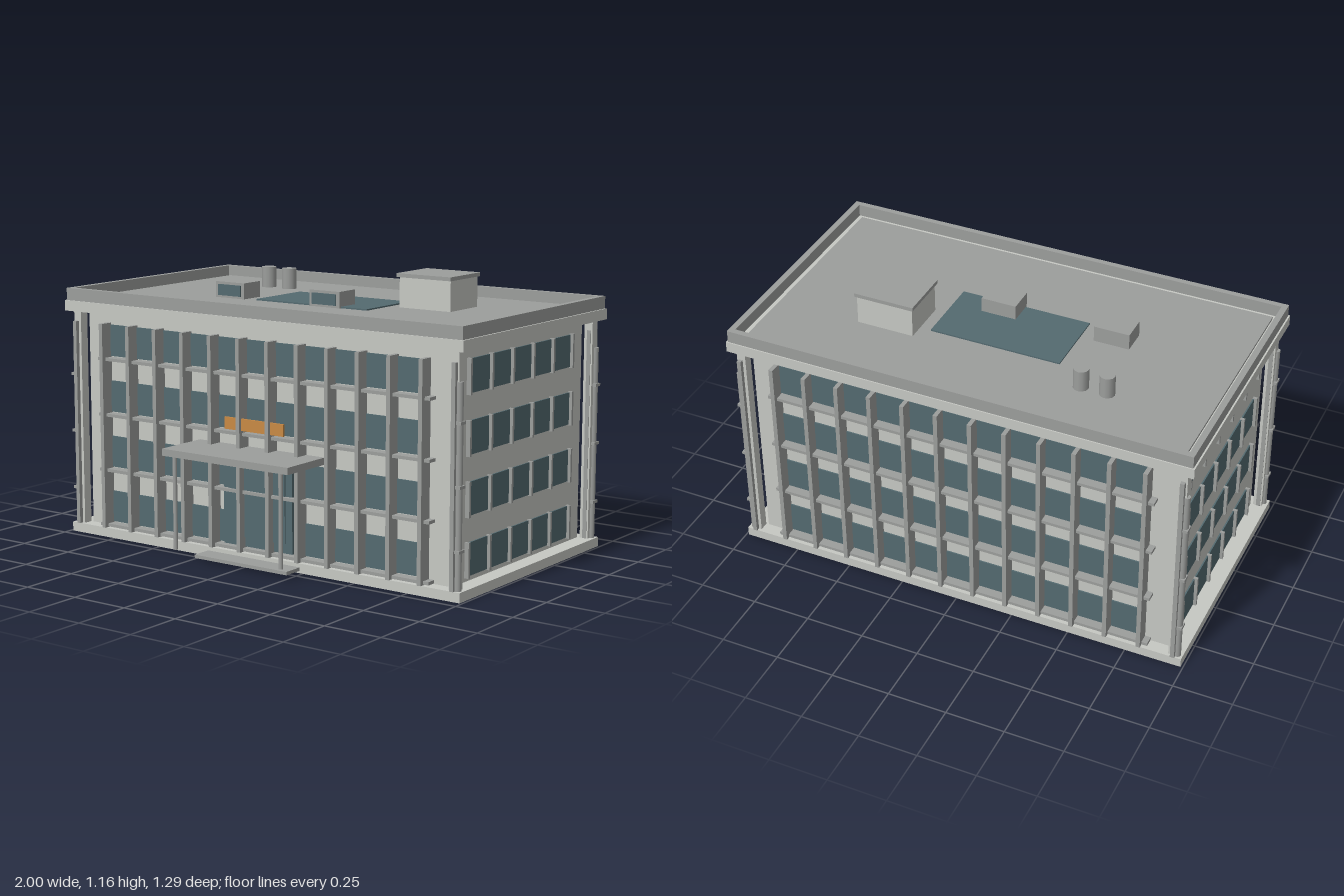
import * as THREE from 'three';

const mat = (name, color) => {
  const m = new THREE.MeshStandardMaterial({ color });
  m.name = name;
  return m;
};

export function createModel() {
  const wall = mat('pale concrete', 0xc6c8c3);
  const trim = mat('grey trim', 0x9c9e9c);
  const glass = mat('teal glass', 0x546a70);
  const orange = mat('orange panel', 0xc98a45);

  const model = new THREE.Group();
  model.name = 'officeBuilding';
  const ZC = -0.09; // centre of the main block in z

  // box given by its extents on each axis
  const box = (name, m, [x0, x1], [y0, y1], [z0, z1], parent = model) => {
    const mesh = new THREE.Mesh(new THREE.BoxGeometry(x1 - x0, y1 - y0, z1 - z0), m);
    mesh.position.set((x0 + x1) / 2, (y0 + y1) / 2, (z0 + z1) / 2);
    mesh.name = name;
    parent.add(mesh);
    return mesh;
  };
  const cylinder = (name, m, r, x, z, y0, y1, sides = 12, parent = model) => {
    const mesh = new THREE.Mesh(new THREE.CylinderGeometry(r, r, y1 - y0, sides), m);
    mesh.position.set(x, (y0 + y1) / 2, z);
    mesh.name = name;
    parent.add(mesh);
  };
  const around = (c, h) => [c - h, c + h];

  // main block, plinth and cornice
  box('plinth', wall, [-0.99, 0.99], [0, 0.04], around(ZC, 0.547));
  box('walls', wall, [-0.92, 0.92], [0.04, 0.965], around(ZC, 0.492));
  box('cornice', wall, [-1, 1], [0.965, 1.01], around(ZC, 0.557));
  box('roofDeck', trim, [-0.943, 0.943], [1.01, 1.02], around(ZC, 0.503));

  // parapet ring
  const ring = new THREE.Shape();
  const rect = (path, hx, hz) => path.moveTo(-hx, -hz).lineTo(hx, -hz).lineTo(hx, hz).lineTo(-hx, hz).closePath();
  rect(ring, 0.993, 0.552);
  const hole = new THREE.Path();
  rect(hole, 0.968, 0.527);
  ring.holes.push(hole);
  const parapet = new THREE.Mesh(
    new THREE.ExtrudeGeometry(ring, { depth: 0.052, bevelEnabled: false }), trim);
  parapet.rotation.x = -Math.PI / 2;
  parapet.position.set(0, 1.01, ZC);
  parapet.name = 'parapet';
  model.add(parapet);

  const floors = [0.06, 0.3, 0.54, 0.78]; // window bottoms
  const PANE = 0.134;
  const BAY = 0.1466;

  // long facades, front and back
  for (const side of [0, 1]) {
    const facade = new THREE.Group();
    facade.name = side ? 'backFacade' : 'frontFacade';
    facade.position.z = ZC;
    facade.rotation.y = side * Math.PI;
    model.add(facade);
    for (const y of floors) {
      box('windowBand', glass, [-0.8, 0.8], [y, y + PANE], [0.492, 0.498], facade);
      box('sill', trim, [-0.84, 0.84], [y - 0.017, y - 0.004], [0.49, 0.533], facade);
    }
    for (let i = 0; i < 14; i++) {
      box('fin', trim, around((i - 6.5) * BAY, 0.009), [0.04, 0.922], [0.492, 0.551], facade);
    }
    // corner columns and drainpipes
    for (const s of [-1, 1]) {
      box('cornerColumn', wall, around(s * 0.95, 0.019), [0.04, 0.965], around(0.514, 0.02), facade);
      cylinder('drainpipe', trim, 0.0145, s * 0.967, 0.525, 0.04, 0.848, 12, facade);
      for (const y of [0.195, 0.445, 0.692]) {
        box('pipeBracket', trim, around(s * 0.966, 0.018), around(y, 0.006), around(0.525, 0.019), facade);
      }
    }
  }

  // short facades, left and right
  for (const s of [-1, 1]) {
    for (const y of floors) {
      box('sideWindowBand', glass, around(s * 0.923, 0.003), [y, y + PANE], [-0.484, 0.307]);
      for (let i = 0; i < 6; i++) {
        box('sideMullion', trim, around(s * 0.929, 0.01), [y - 0.004, y + PANE + 0.004],
          around(0.307 - i * 0.158, 0.006));
      }
    }
  }

  // entrance
  box('doorSurround', glass, [-0.175, 0.175], [0.06, 0.425], [0.4, 0.425]);
  box('doorLeaf', glass, [-0.142, 0.142], [0.1, 0.395], [0.425, 0.431]);
  box('entranceStep', trim, [-0.235, 0.235], [0.01, 0.024], [0.45, 0.545]);
  box('canopy', trim, [-0.318, 0.318], [0.445, 0.474], [0.4, 0.645]);
  for (const s of [-1, 1]) cylinder('canopyPost', trim, 0.009, s * 0.268, 0.625, 0.058, 0.445);
  box('signPanel', orange, [-0.15, 0.148], [0.545, 0.595], [0.44, 0.449]);

  // rooftop equipment
  box('skylight', glass, [-0.285, 0.28], [1.02, 1.026], [-0.25, 0.057]);
  box('stairHut', wall, [0.33, 0.577], [1.02, 1.146], [-0.313, -0.108]);
  box('stairHutRoof', trim, [0.322, 0.583], [1.146, 1.162], [-0.323, -0.097]);
  for (const x of [-0.42, 0.075]) {
    box('ventUnit', trim, around(x, 0.076), [1.02, 1.088], [-0.043, 0.067]);
    box('ventGrille', glass, around(x, 0.06), [1.03, 1.077], [0.067, 0.073]);
  }
  for (const x of [-0.53, -0.42]) cylinder('roofFlue', trim, 0.032, x, -0.353, 1.02, 1.11);

  return model;
}
